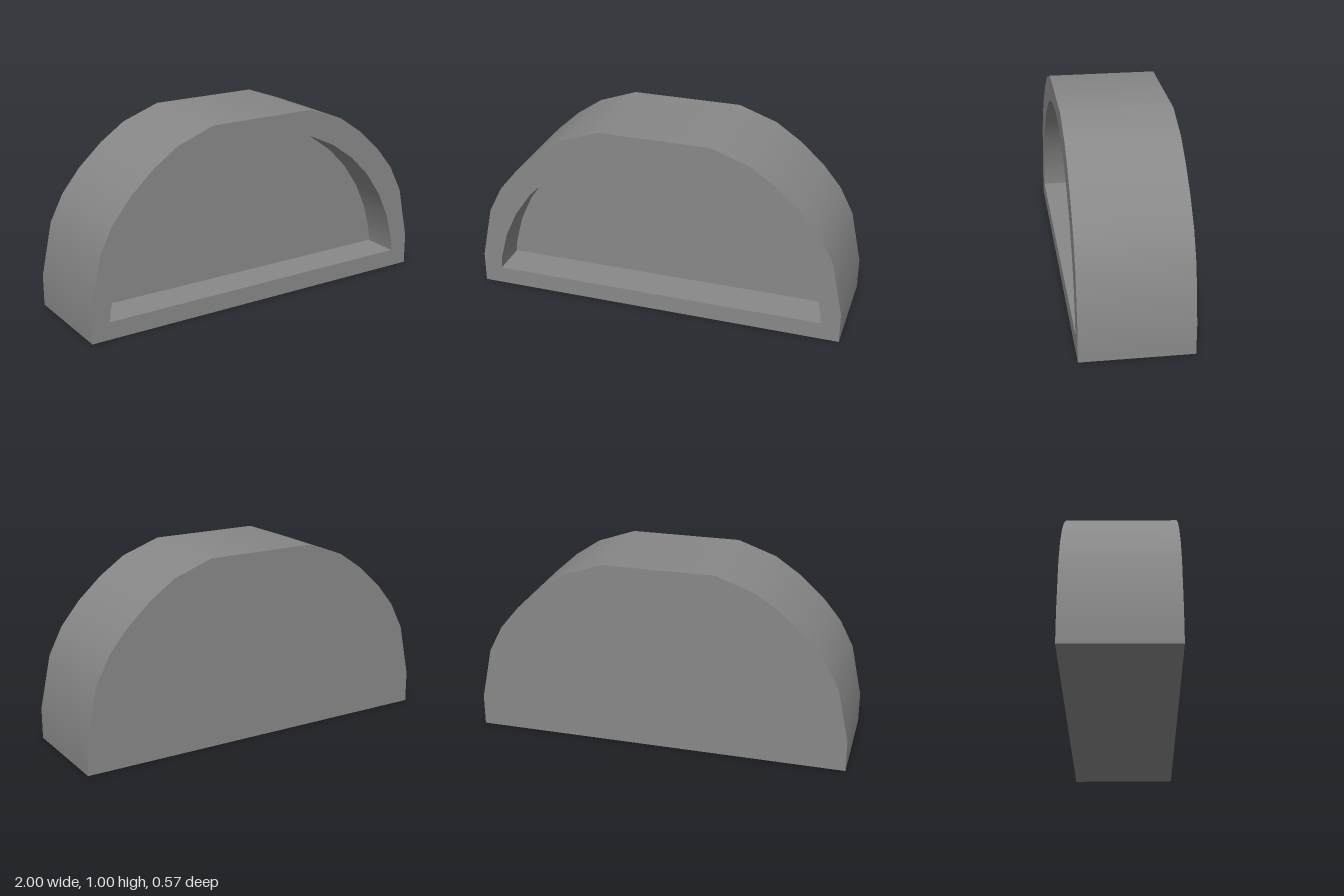
import * as THREE from 'three';

const HALF_DEPTH = 0.285;
const FLOOR_Z = 0.085; // bottom of the front recess

// Right half of the faceted arch, mirrored to the other side
function archPoints() {
  const half = [[1, 0], [1, 0.166], [0.94, 0.45], [0.866, 0.594], [0.765, 0.717],
    [0.636, 0.834], [0.5, 0.927], [0.295, 1]];
  const mirrored = half.map(([x, y]) => [-x, y]).reverse();
  return [...half, ...mirrored].map(([x, y]) => new THREE.Vector2(x, y));
}

// Half-round recess outline with a flat sill
function recessPoints() {
  const radius = 0.908;
  const points = [new THREE.Vector2(0.9, 0.094)];
  for (let deg = 10; deg <= 170; deg += 10) {
    const a = THREE.MathUtils.degToRad(deg);
    points.push(new THREE.Vector2(radius * Math.cos(a), radius * Math.sin(a)));
  }
  points.push(new THREE.Vector2(-0.9, 0.094));
  return points;
}

// Smooths gentle bends, counting each flat face once so the shading stays even along z
function smoothGentleBends(geometry, maxAngle) {
  const { position, normal } = geometry.attributes;
  const facesAt = new Map();
  const corners = [];
  for (let i = 0; i < position.count; i++) {
    const p = new THREE.Vector3().fromBufferAttribute(position, i);
    const n = new THREE.Vector3().fromBufferAttribute(normal, i);
    const key = p.toArray().map((v) => Math.round(v * 1e4)).join();
    if (!facesAt.has(key)) facesAt.set(key, []);
    const faces = facesAt.get(key);
    if (!faces.some((f) => f.distanceTo(n) < 1e-3)) faces.push(n);
    corners.push({ n, faces });
  }
  corners.forEach(({ n, faces }, i) => {
    const sum = new THREE.Vector3();
    faces.filter((f) => f.angleTo(n) < maxAngle).forEach((f) => sum.add(f));
    sum.normalize();
    normal.setXYZ(i, sum.x, sum.y, sum.z);
  });
}

function slab(name, shape, z0, z1, material) {
  const geometry = new THREE.ExtrudeGeometry(shape, { depth: z1 - z0, bevelEnabled: false });
  geometry.translate(0, 0, z0);
  smoothGentleBends(geometry, Math.PI / 5);
  const mesh = new THREE.Mesh(geometry, material);
  mesh.name = name;
  return mesh;
}

export function createModel() {
  const group = new THREE.Group();
  group.name = 'archedBlock';
  const material = new THREE.MeshStandardMaterial({ color: 0x888888 });

  // Solid rear part; its front face is the floor of the recess
  group.add(slab('backBlock', new THREE.Shape(archPoints()), -HALF_DEPTH, FLOOR_Z, material));

  // Raised frame around the recess
  const rim = new THREE.Shape(archPoints());
  rim.holes.push(new THREE.Path(recessPoints()));
  group.add(slab('frontRim', rim, FLOOR_Z, HALF_DEPTH, material));

  return group;
}
